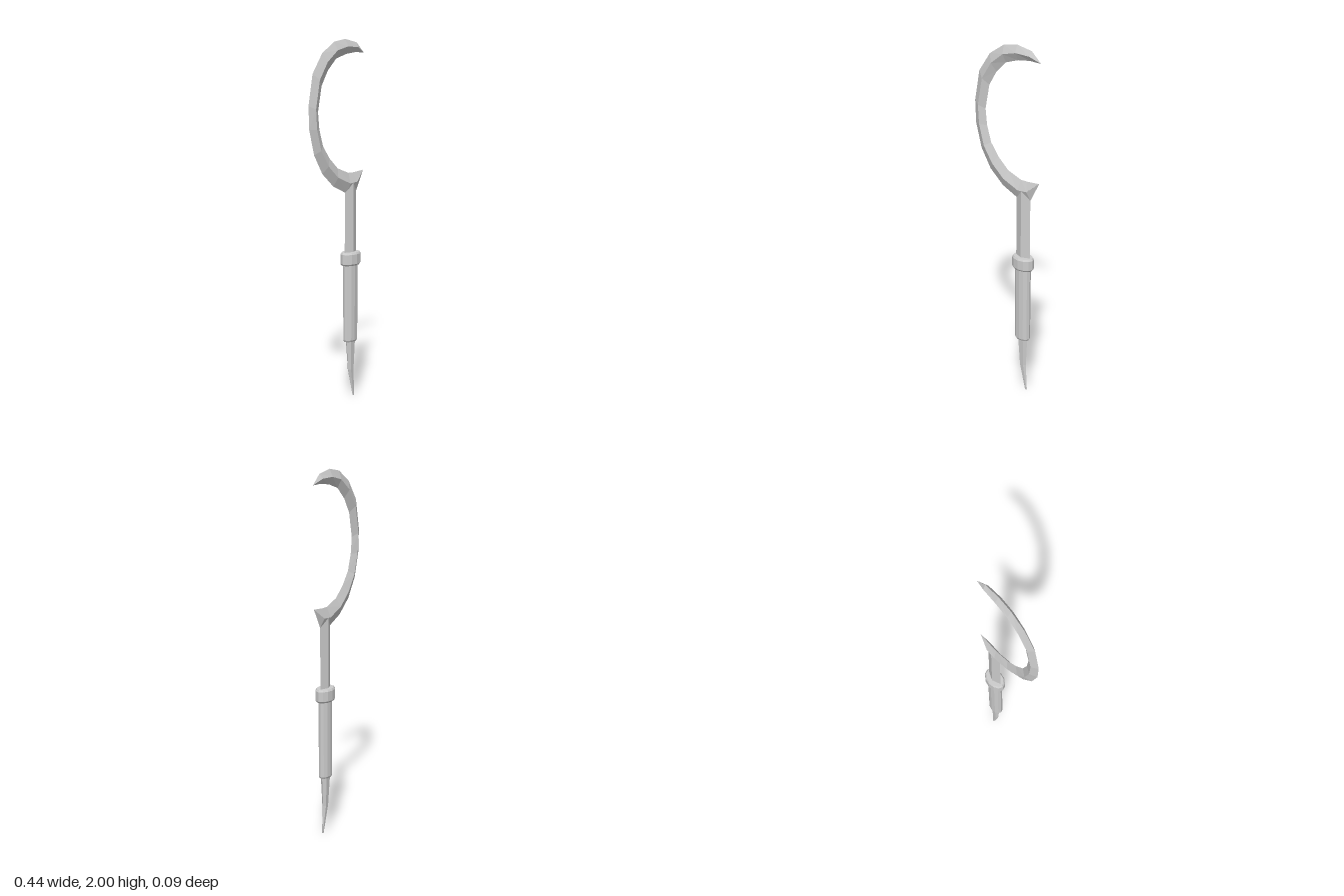
import * as THREE from 'three';

const material = new THREE.MeshStandardMaterial({ color: 0xcccccc, flatShading: true, side: THREE.DoubleSide });

// Skins a list of equal-sized cross-section rings and closes both ends.
function loft(name, rings) {
  const n = rings[0].length;
  const index = [];
  for (let r = 0; r < rings.length - 1; r++) {
    for (let i = 0; i < n; i++) {
      const a = r * n + i, b = r * n + (i + 1) % n;
      index.push(a, b, b + n, a, b + n, a + n);
    }
  }
  const last = (rings.length - 1) * n;
  for (let i = 1; i < n - 1; i++) {
    index.push(0, i + 1, i, last, last + i, last + i + 1);
  }
  const indexed = new THREE.BufferGeometry();
  indexed.setAttribute('position', new THREE.Float32BufferAttribute(rings.flat(2), 3));
  indexed.setIndex(index);
  const geometry = indexed.toNonIndexed();
  geometry.computeVertexNormals();
  const mesh = new THREE.Mesh(geometry, material);
  mesh.name = name;
  return mesh;
}

// Horizontal elliptical ring with the given number of sides.
function ring(x, y, rx, rz, sides) {
  return Array.from({ length: sides }, (_, i) => {
    const a = (i / sides) * Math.PI * 2;
    return [x + rx * Math.cos(a), y, -rz * Math.sin(a)];
  });
}

// Diamond section: sharp outer and inner edges, ridges midway on both faces.
function bladeSection([ox, oy, ix, iy, ridge = 0.02]) {
  const mx = (ox + ix) / 2, my = (oy + iy) / 2;
  return [[ox, oy, 0], [mx, my, ridge], [ix, iy, 0], [mx, my, -ridge]];
}

export function createModel() {
  const group = new THREE.Group();
  group.name = 'sickle';
  const cx = 0.117;

  // Hooked blade from the short spur round to the tip: outer x, y, inner x, y, ridge
  const blade = [
    [0.222, 1.283, 0.222, 1.285, 0.001],
    [0.165, 1.175, 0.14, 1.278],
    [0.085, 1.165, 0.10, 1.278],
    [-0.027, 1.215, 0.01, 1.31],
    [-0.115, 1.29, -0.058, 1.37],
    [-0.18, 1.395, -0.11, 1.44],
    [-0.217, 1.53, -0.138, 1.53],
    [-0.222, 1.655, -0.148, 1.62],
    [-0.19, 1.82, -0.12, 1.755],
    [-0.115, 1.925, -0.07, 1.835],
    [-0.02, 1.985, -0.005, 1.895],
    [0.07, 2.0, 0.075, 1.92],
    [0.165, 1.982, 0.155, 1.93, 0.016],
    [0.223, 1.93, 0.222, 1.927, 0.001],
  ];
  group.add(loft('hookBlade', blade.map(bladeSection)));

  // Diamond-section shaft
  group.add(loft('shaft', [ring(cx, 0.8, 0.049, 0.021, 4), ring(cx, 1.225, 0.047, 0.02, 4)]));

  // Collar with small bevels
  group.add(loft('collar', [
    ring(cx, 0.764, 0.061, 0.04, 12),
    ring(cx, 0.773, 0.068, 0.046, 12),
    ring(cx, 0.827, 0.068, 0.046, 12),
    ring(cx, 0.837, 0.061, 0.04, 12),
  ]));

  // Handle grip
  group.add(loft('grip', [
    ring(cx, 0.326, 0.043, 0.027, 12),
    ring(cx, 0.336, 0.048, 0.032, 12),
    ring(cx, 0.78, 0.049, 0.033, 12),
  ]));

  // Bent tail spike
  group.add(loft('tailSpike', [
    ring(0.145, 0, 0.007, 0.003, 6),
    ring(0.121, 0.16, 0.022, 0.014, 6),
    ring(0.118, 0.345, 0.034, 0.023, 6),
  ]));

  return group;
}
